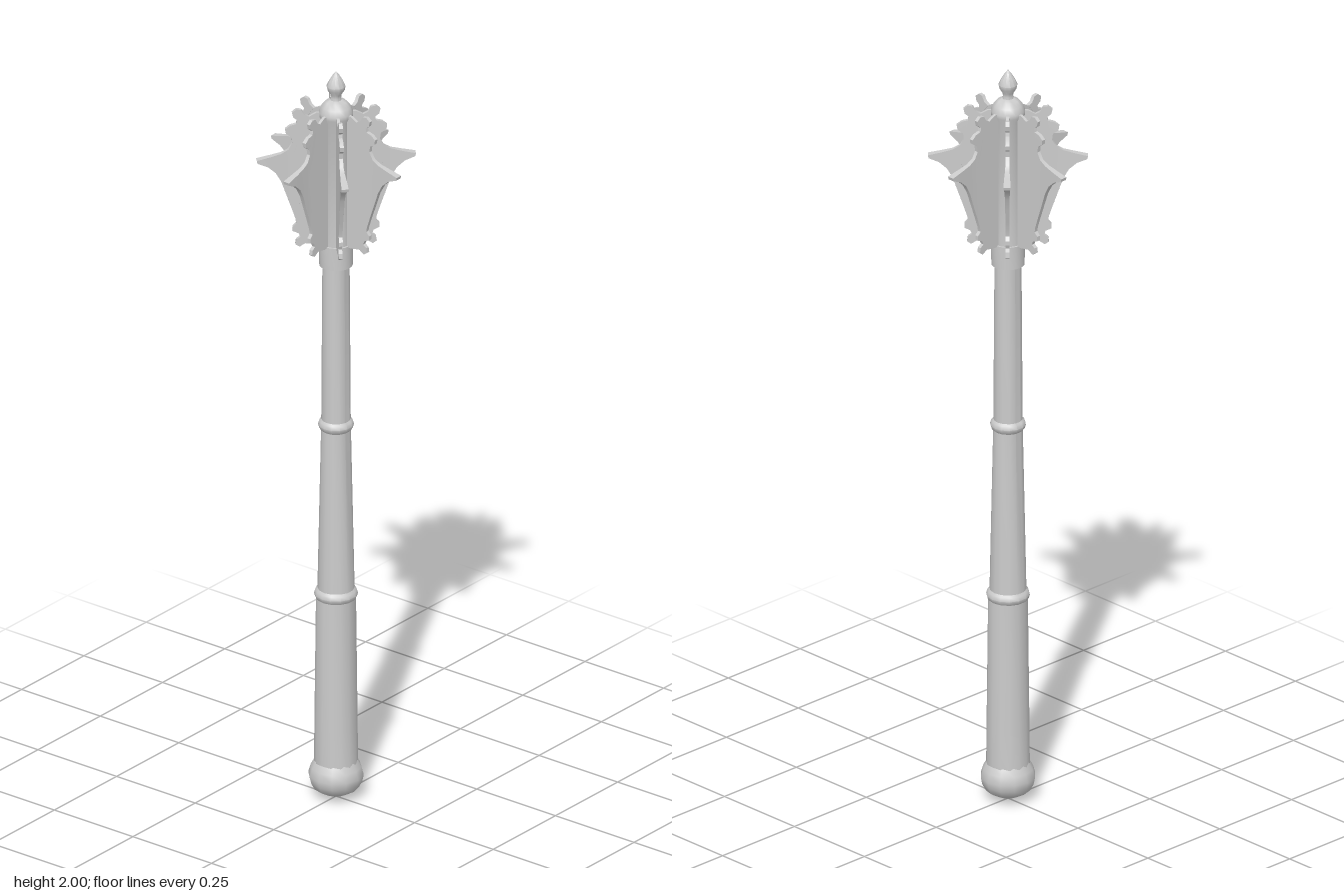
import * as THREE from 'three';
import { toCreasedNormals } from 'three/addons/utils/BufferGeometryUtils.js';

const material = new THREE.MeshStandardMaterial({ color: 0xcccccc });
const vectors = (points) => points.map(([x, y]) => new THREE.Vector2(x, y));

// Turned part from [radius, height] pairs, listed bottom to top
function turned(name, points, sides = 14) {
  const geometry = new THREE.LatheGeometry(vectors(points), sides);
  const mesh = new THREE.Mesh(toCreasedNormals(geometry, 0.7), material);
  mesh.name = name;
  return mesh;
}

// Upright plate whose half thickness varies with the distance from the axis
function plate(name, shape, halfThickness) {
  const geometry = new THREE.ExtrudeGeometry(shape, { depth: 2, bevelEnabled: false, curveSegments: 5 });
  const p = geometry.attributes.position;
  for (let i = 0; i < p.count; i++) p.setZ(i, (p.getZ(i) - 1) * halfThickness(p.getX(i)));
  const mesh = new THREE.Mesh(toCreasedNormals(geometry, 0.6), material);
  mesh.name = name;
  return mesh;
}

// Scalloped outer edge of a flange, top to bottom: lobes, spike, sweep, lobes
const outerEdge = [
  [0.068, 1.88], [0.08, 1.886], [0.088, 1.9], [0.1, 1.902], [0.111, 1.893], [0.108, 1.88],
  [0.098, 1.872], [0.1, 1.862], [0.116, 1.858], [0.128, 1.848], [0.126, 1.836], [0.112, 1.826],
  [0.11, 1.81], [0.12, 1.792], [0.138, 1.782], [0.165, 1.775], [0.2, 1.767], [0.198, 1.759],
  [0.172, 1.748], [0.152, 1.73], [0.138, 1.705], [0.126, 1.67], [0.112, 1.63], [0.102, 1.6],
  [0.1, 1.588], [0.109, 1.578], [0.109, 1.567], [0.094, 1.56], [0.09, 1.55],
  [0.1, 1.543], [0.102, 1.53], [0.092, 1.523], [0.078, 1.532], [0.068, 1.53],
];
// Inner line of the thickened rim, bottom to top
const innerEdge = [
  [0.072, 1.56], [0.082, 1.6], [0.095, 1.65], [0.108, 1.7], [0.116, 1.745],
  [0.106, 1.78], [0.094, 1.81], [0.092, 1.835], [0.082, 1.86],
];

function flange() {
  const group = new THREE.Group();
  const web = new THREE.Shape(vectors([[0.02, 1.89], [0.05, 1.89], ...outerEdge, [0.05, 1.527], [0.02, 1.527]]));
  const rim = new THREE.Shape(vectors([...outerEdge, ...innerEdge]));
  group.add(plate('flangeWeb', web, () => 0.0038));
  group.add(plate('flangeRim', rim, (r) => 0.0048 + 0.0042 * THREE.MathUtils.smoothstep(r, 0.11, 0.2)));
  return group;
}

export function createModel() {
  const model = new THREE.Group();
  model.name = 'flangedMace';

  // Handle
  model.add(turned('pommel', [
    [0, 0], [0.03, 0.012], [0.057, 0.028], [0.066, 0.045], [0.07, 0.064], [0.064, 0.085], [0.053, 0.105], [0, 0.105],
  ], 12));
  model.add(turned('grip', [[0, 0.09], [0.055, 0.09], [0.054, 0.2], [0.05, 0.555], [0, 0.555]]));
  model.add(turned('lowerShaft', [[0, 0.55], [0.047, 0.55], [0.037, 1.03], [0, 1.03]]));
  model.add(turned('upperShaft', [[0, 1.02], [0.037, 1.02], [0.034, 1.48], [0, 1.48]]));

  // Rounded rings between the handle sections
  for (const [name, y, radius] of [['lowerRing', 0.562, 0.055], ['upperRing', 1.028, 0.045]]) {
    model.add(turned(name, [
      [radius - 0.012, y - 0.018], [radius - 0.003, y - 0.01], [radius, y],
      [radius - 0.003, y + 0.01], [radius - 0.012, y + 0.018],
    ]));
  }

  // Head core with collar and dome
  model.add(turned('collar', [[0, 1.468], [0.042, 1.468], [0.043, 1.53], [0, 1.53]], 20));
  model.add(turned('headCore', [
    [0.038, 1.52], [0.038, 1.87], [0.043, 1.88], [0.043, 1.89], [0.037, 1.905], [0.026, 1.917], [0.014, 1.923], [0, 1.924],
  ], 20));

  // Pointed finial
  model.add(turned('finial', [
    [0.017, 1.915], [0.013, 1.928], [0.014, 1.937], [0.022, 1.95], [0.024, 1.96], [0.017, 1.975], [0.008, 1.99], [0, 2],
  ], 12));

  // Eight flanges around the core
  for (let i = 0; i < 8; i++) {
    const blade = flange();
    blade.name = `flange${i + 1}`;
    blade.rotation.y = (i * Math.PI) / 4;
    model.add(blade);
  }
  return model;
}
